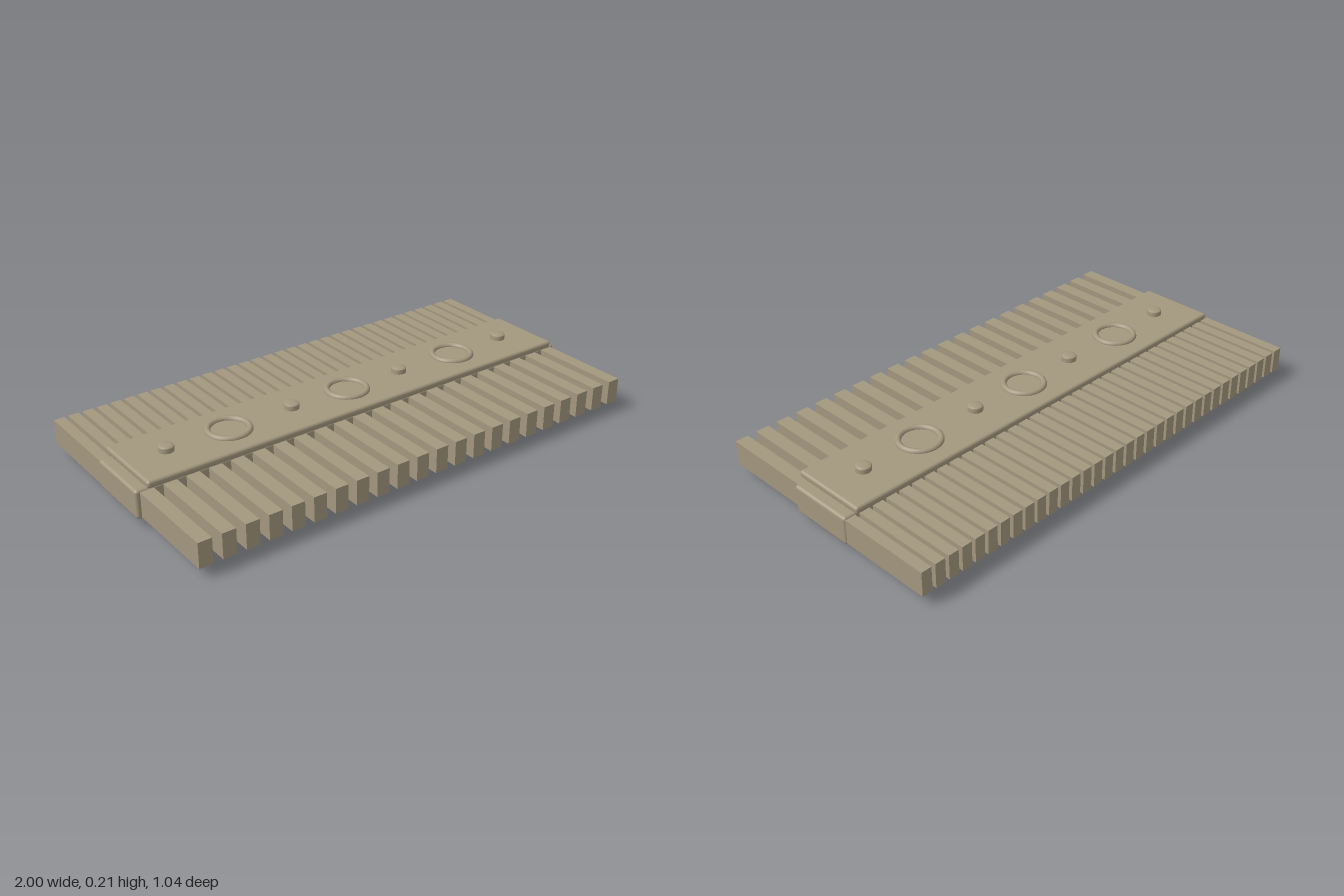
import * as THREE from 'three';
import { RoundedBoxGeometry } from 'three/addons/geometries/RoundedBoxGeometry.js';

export function createModel() {
  const root = new THREE.Group();
  root.name = 'doubleSidedComb';
  const bone = new THREE.MeshStandardMaterial({ color: 0xa3977e });
  bone.name = 'bone';

  const add = (geometry, name, x, y, z) => {
    const mesh = new THREE.Mesh(geometry, bone);
    mesh.name = name;
    mesh.position.set(x, y, z);
    root.add(mesh);
    return mesh;
  };

  // Central bar and the two plates that clamp it
  add(new RoundedBoxGeometry(2, 0.115, 0.276, 3, 0.012), 'centralBar', 0, 0.0925, 0);
  const plate = new RoundedBoxGeometry(1.92, 0.029, 0.316, 3, 0.011);
  add(plate, 'topPlate', 0, 0.168, 0);
  add(plate, 'bottomPlate', 0, 0.0145, 0);

  // A row of evenly spaced teeth reaching from the bar to z = +-0.52
  const addTeeth = (name, count, width, reach, side) => {
    const tooth = new THREE.BoxGeometry(width, 0.1, 0.4);
    for (let i = 0; i < count; i++) {
      const x = -reach + (2 * reach * i) / (count - 1);
      add(tooth, name, x, 0.092, side * 0.32);
    }
  };
  addTeeth('coarseTooth', 22, 0.054, 0.955, 1);
  addTeeth('fineTooth', 34, 0.043, 0.973, -1);

  // Raised rings, half sunk into the top plate
  const ring = new THREE.TorusGeometry(0.079, 0.0125, 12, 48);
  for (const x of [-0.54, 0, 0.54]) {
    add(ring, 'ring', x, 0.1835, 0).rotation.x = Math.PI / 2;
  }

  // Rivets with slightly domed heads
  const profile = [
    [0.03, 0], [0.03, 0.018], [0.028, 0.021], [0.02, 0.0235], [0.01, 0.0247], [0, 0.025],
  ].map(([r, y]) => new THREE.Vector2(r, y));
  const rivet = new THREE.LatheGeometry(profile, 24);
  for (const x of [-0.8, -0.26, 0.26, 0.8]) add(rivet, 'rivet', x, 0.182, 0);

  return root;
}
